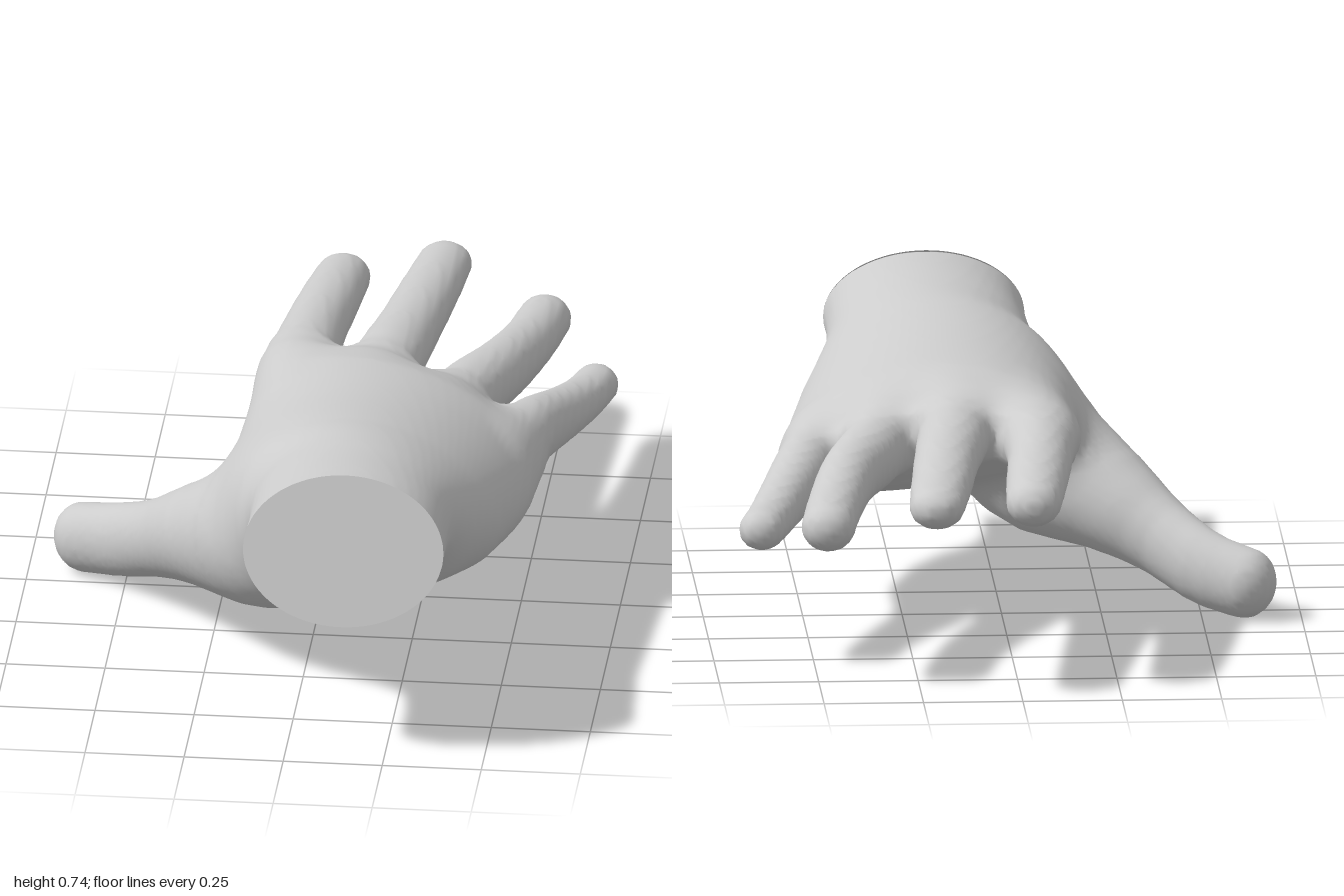
import * as THREE from 'three';

const skin = new THREE.MeshStandardMaterial({ color: 0xcccccc });
skin.name = 'plainGrey';

const clamp = THREE.MathUtils.clamp;

// Smooth interpolation through rows of numbers, t from 0 to 1
function sample(rows, t) {
  const last = rows.length - 1;
  const i = Math.min(Math.floor(t * last), last - 1);
  const f = t * last - i;
  const a = rows[Math.max(i - 1, 0)], b = rows[i], c = rows[i + 1], d = rows[Math.min(i + 2, last)];
  return b.map((_, k) => 0.5 * (2 * b[k] + (c[k] - a[k]) * f
    + (2 * a[k] - 5 * b[k] + 4 * c[k] - d[k]) * f * f
    + (3 * b[k] - a[k] - 3 * c[k] + d[k]) * f * f * f));
}

// Approximate signed distance to an ellipsoid of radii ra, rb, rc
function ellipsoid(a, b, c, ra, rb, rc) {
  const x = a / ra, y = b / rb, z = c / rc;
  const k0 = Math.sqrt(x * x + y * y + z * z);
  const k1 = Math.sqrt((x / ra) ** 2 + (y / rb) ** 2 + (z / rc) ** 2);
  return k1 < 1e-6 ? -Math.min(ra, rb, rc) : k0 * (k0 - 1) / k1;
}

// Distance to a round-ended digit; rows are x, y, z, half width, half height
function digit(rows) {
  const points = Array.from({ length: 17 }, (_, i) => sample(rows, i / 16));
  return (x, y, z) => {
    let best = Infinity, seg = 0, at = 0;
    for (let i = 0; i < 16; i++) {
      const a = points[i], b = points[i + 1];
      const dx = b[0] - a[0], dy = b[1] - a[1], dz = b[2] - a[2];
      const px = x - a[0], py = y - a[1], pz = z - a[2];
      const t = clamp((px * dx + py * dy + pz * dz) / (dx * dx + dy * dy + dz * dz), 0, 1);
      const dist = (px - dx * t) ** 2 + (py - dy * t) ** 2 + (pz - dz * t) ** 2;
      if (dist < best) { best = dist; seg = i; at = t; }
    }
    const a = points[seg], b = points[seg + 1];
    const [cx, cy, cz, w, h] = a.map((v, k) => v + (b[k] - v) * at);
    const tx = b[0] - a[0], ty = b[1] - a[1], tz = b[2] - a[2];
    const ex = x - cx, ey = y - cy, ez = z - cz;
    const side = (ez * tx - ex * tz) / Math.sqrt(tx * tx + tz * tz);
    const along = (ex * tx + ey * ty + ez * tz) / Math.sqrt(tx * tx + ty * ty + tz * tz);
    const rise = Math.sqrt(Math.max(0, best - side * side - along * along));
    return ellipsoid(side, along, rise, w, w, h);
  };
}

// Palm sections: z, centre x, half width, centre y, half height, sideways slope, arch
const palmRows = [
  [1.08, 0.145, 0.253, 0.56, 0.18, 0, 0],
  [0.935, 0.145, 0.253, 0.56, 0.18, 0, 0],
  [0.80, 0.145, 0.252, 0.553, 0.177, 0, 0],
  [0.68, 0.145, 0.262, 0.53, 0.188, -0.02, 0.05],
  [0.58, 0.155, 0.288, 0.497, 0.213, -0.06, 0.2],
  [0.45, 0.16, 0.33, 0.485, 0.21, -0.12, 0.3],
  [0.20, 0.17, 0.37, 0.475, 0.19, -0.12, 0.4],
  [0.00, 0.185, 0.367, 0.493, 0.15, -0.13, 0.4],
  [-0.10, 0.19, 0.355, 0.503, 0.107, -0.15, 0.45],
  [-0.18, 0.195, 0.32, 0.50, 0.06, -0.15, 0.45],
];

// The knuckle end slants back towards the little finger
function palm(x, y, z) {
  const last = palmRows.length - 1;
  const slanted = z - 0.35 * clamp((0.2 - z) / 0.35, 0, 1) * (x - 0.195);
  const inside = clamp(slanted, palmRows[last][0], palmRows[0][0]);
  let i = 0;
  while (i < last - 1 && palmRows[i + 1][0] > inside) i++;
  const f = (palmRows[i][0] - inside) / (palmRows[i][0] - palmRows[i + 1][0]);
  const [, cx, w, cy, h, slope, arch] = sample(palmRows, (i + f) / last);
  const dx = x - cx, dy = y - cy - slope * dx + arch * dx * dx;
  const across = ellipsoid(dx, dy, 0, w, h, 1);
  const beyond = Math.max(palmRows[last][0] - slanted, slanted - palmRows[0][0]);
  return Math.min(Math.max(across, beyond), 0) + Math.hypot(Math.max(across, 0), Math.max(beyond, 0));
}

// Parts in the order they are joined, with the softness of each join
const parts = [
  { name: 'indexFinger', blend: 0.03, field: digit([
    [-0.06, 0.50, 0.02, 0.07, 0.07], [-0.08, 0.505, -0.22, 0.094, 0.086],
    [-0.073, 0.50, -0.45, 0.082, 0.076], [-0.052, 0.49, -0.68, 0.077, 0.067],
    [-0.036, 0.478, -0.847, 0.07, 0.06]]) },
  { name: 'middleFinger', blend: 0.03, field: digit([
    [0.12, 0.51, 0.02, 0.07, 0.08], [0.133, 0.515, -0.25, 0.09, 0.082],
    [0.165, 0.507, -0.50, 0.082, 0.072], [0.19, 0.495, -0.73, 0.077, 0.063],
    [0.212, 0.488, -0.93, 0.07, 0.055]]) },
  { name: 'ringFinger', blend: 0.03, field: digit([
    [0.28, 0.48, 0.02, 0.07, 0.08], [0.335, 0.465, -0.20, 0.085, 0.086],
    [0.405, 0.448, -0.40, 0.075, 0.08], [0.452, 0.422, -0.62, 0.07, 0.067],
    [0.478, 0.41, -0.795, 0.068, 0.062]]) },
  { name: 'littleFinger', blend: 0.03, field: digit([
    [0.45, 0.42, 0.08, 0.07, 0.08], [0.50, 0.408, -0.12, 0.077, 0.087],
    [0.562, 0.375, -0.31, 0.066, 0.07], [0.605, 0.354, -0.45, 0.06, 0.058],
    [0.632, 0.35, -0.55, 0.058, 0.053]]) },
  { name: 'palm', blend: 0.07, field: palm },
  // Starts as the fleshy mound beside the palm
  { name: 'thumb', blend: 0.1, field: digit([
    [0.10, 0.48, 0.66, 0.09, 0.10], [0.0, 0.42, 0.53, 0.145, 0.165],
    [-0.11, 0.325, 0.355, 0.182, 0.187], [-0.275, 0.248, 0.205, 0.137, 0.135],
    [-0.40, 0.178, 0.095, 0.09, 0.10], [-0.51, 0.117, -0.015, 0.075, 0.095],
    [-0.61, 0.09, -0.078, 0.078, 0.09]]) },
];

// All parts melted together
function hand(x, y, z) {
  return parts.reduce((joined, { field, blend }) => {
    const d = field(x, y, z);
    const h = Math.max(0, 1 - Math.abs(joined - d) / blend);
    return Math.min(joined, d) - h * h * blend / 4;
  }, 10);
}

// Even quad mesh over the zero level of a field inside a box of cells
function wrapField(field, origin, count, cell) {
  const stride = [1, count[0], count[0] * count[1]];
  const values = new Float32Array(count[0] * count[1] * count[2]);
  const place = (n) => [n % count[0], Math.floor(n / stride[1]) % count[1], Math.floor(n / stride[2])];
  const world = (grid) => grid.map((g, k) => origin[k] + g * cell);
  for (let n = 0; n < values.length; n++) values[n] = field(...world(place(n)));

  const vertexOf = new Int32Array(values.length).fill(-1), points = [], index = [];
  for (let n = 0; n < values.length; n++) {
    const grid = place(n);
    if (grid.some((g, k) => g >= count[k] - 1)) continue;
    const sum = [0, 0, 0];
    let hits = 0;
    for (let c = 0; c < 8; c++) {
      const bits = [c & 1, c >> 1 & 1, c >> 2];
      const m = n + bits[0] + bits[1] * stride[1] + bits[2] * stride[2];
      for (let k = 0; k < 3; k++) {
        if (bits[k]) continue;
        const a = values[m], b = values[m + stride[k]];
        if (a < 0 === b < 0) continue;
        for (let q = 0; q < 3; q++) sum[q] += grid[q] + bits[q] + (q === k ? a / (a - b) : 0);
        hits++;
      }
    }
    if (!hits) continue;
    vertexOf[n] = points.length;
    points.push(new THREE.Vector3(...world(sum.map((s) => s / hits))));
  }
  for (let n = 0; n < values.length; n++) {
    if (vertexOf[n] < 0) continue;
    for (let k = 0; k < 3; k++) {
      const inside = values[n] < 0;
      if (inside === values[n + stride[k]] < 0) continue;
      const u = stride[(k + 1) % 3], v = stride[(k + 2) % 3];
      const [a, b, c, d] = [n, n - u, n - u - v, n - v].map((m) => vertexOf[m]);
      index.push(...(inside ? [a, b, c, a, c, d] : [a, c, b, a, d, c]));
    }
  }
  return { points, index };
}

export function createModel() {
  const { points, index } = wrapField(hand, [-0.74, -0.04, -1.04], [94, 54, 136], 0.016);

  // Slanted flat cut across the wrist
  const cut = points.map((p) => {
    const limit = 0.935 - 0.36 * (p.y - 0.56);
    const beyond = p.z > limit;
    if (beyond) p.z = limit;
    return beyond;
  });

  // Sort faces by part
  const faces = { wristCap: [] };
  for (const { name } of parts) faces[name] = [];
  for (let i = 0; i < index.length; i += 3) {
    const face = index.slice(i, i + 3);
    const { x, y, z } = points[face[0]];
    const distances = parts.map(({ field }) => field(x, y, z));
    const nearest = parts[distances.indexOf(Math.min(...distances))].name;
    faces[face.every((v) => cut[v]) ? 'wristCap' : nearest].push(...face);
  }

  // Shared smooth normals for the skin, one flat normal for the cap
  const whole = new THREE.BufferGeometry().setFromPoints(points);
  whole.setIndex(parts.flatMap(({ name }) => faces[name]));
  whole.computeVertexNormals();
  const capNormal = new THREE.Vector3(0, 0.36, 1).normalize();

  const group = new THREE.Group();
  group.name = 'hand';
  for (const [name, list] of Object.entries(faces)) {
    const used = [...new Set(list)], slot = new Map(used.map((v, i) => [v, i]));
    const geometry = new THREE.BufferGeometry().setFromPoints(used.map((v) => points[v]));
    const normals = used.flatMap((v) => (name === 'wristCap' ? capNormal
      : new THREE.Vector3().fromBufferAttribute(whole.attributes.normal, v)).toArray());
    geometry.setAttribute('normal', new THREE.Float32BufferAttribute(normals, 3));
    geometry.setIndex(list.map((v) => slot.get(v)));
    const mesh = new THREE.Mesh(geometry, skin);
    mesh.name = name;
    group.add(mesh);
  }
  return group;
}
